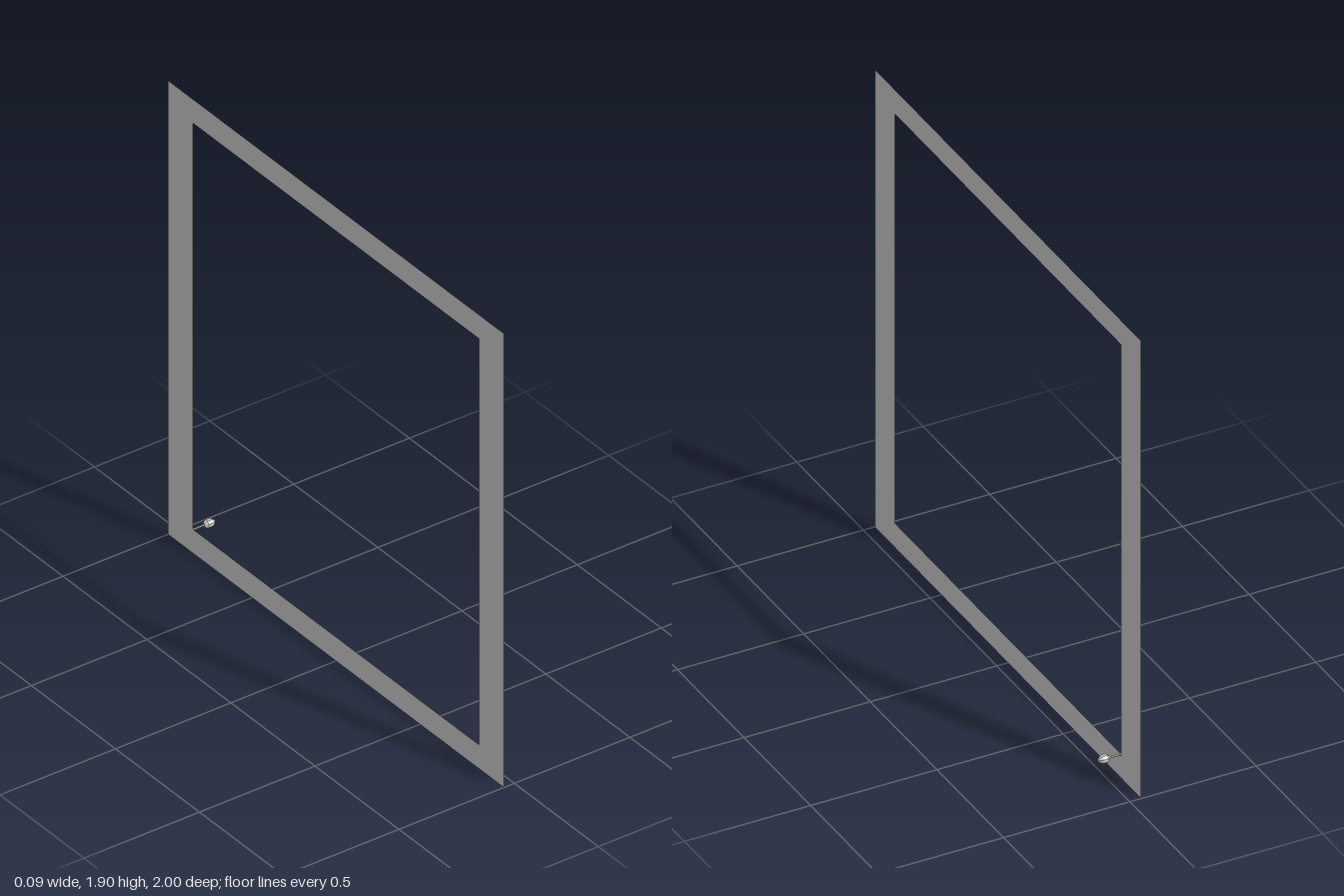
import * as THREE from 'three';

const FRAME_X = -0.045;

// Turned part whose axis runs along +x; points are [x, radius]
function turned(points, sides) {
  const geometry = new THREE.LatheGeometry(points.map(([x, r]) => new THREE.Vector2(r, x)), sides);
  geometry.rotateY(Math.PI / sides);
  geometry.rotateZ(-Math.PI / 2);
  return geometry;
}

export function createModel() {
  const group = new THREE.Group();
  const add = (name, geometry, parent, side = THREE.FrontSide) => {
    const mesh = new THREE.Mesh(geometry,
      new THREE.MeshStandardMaterial({ color: 0xcccccc, flatShading: true, side }));
    mesh.name = name;
    parent.add(mesh);
    return mesh;
  };

  // Flat frame with a rectangular opening, standing in the yz plane
  const rectangle = (path, w, y0, y1) =>
    path.moveTo(-w, y0).lineTo(w, y0).lineTo(w, y1).lineTo(-w, y1).closePath();
  const outline = rectangle(new THREE.Shape(), 1, 0, 1.9);
  outline.holes.push(rectangle(new THREE.Path(), 0.85, 0.1, 1.8));
  const panel = new THREE.ShapeGeometry(outline).rotateY(Math.PI / 2);
  add('frame', panel, group, THREE.DoubleSide).position.x = FRAME_X;

  // Small knob on a thin stem at the inner lower back corner
  const knob = new THREE.Group();
  knob.name = 'knob';
  knob.position.set(0, 0.1, -0.85);
  add('knobStem', turned([[FRAME_X, 0], [FRAME_X, 0.004], [0.004, 0.004]], 8), knob);
  add('knobHead', turned([[0.002, 0], [0.002, 0.007], [0.012, 0.017],
    [0.032, 0.017], [0.045, 0.008], [0.045, 0]], 8), knob);
  group.add(knob);

  return group;
}
